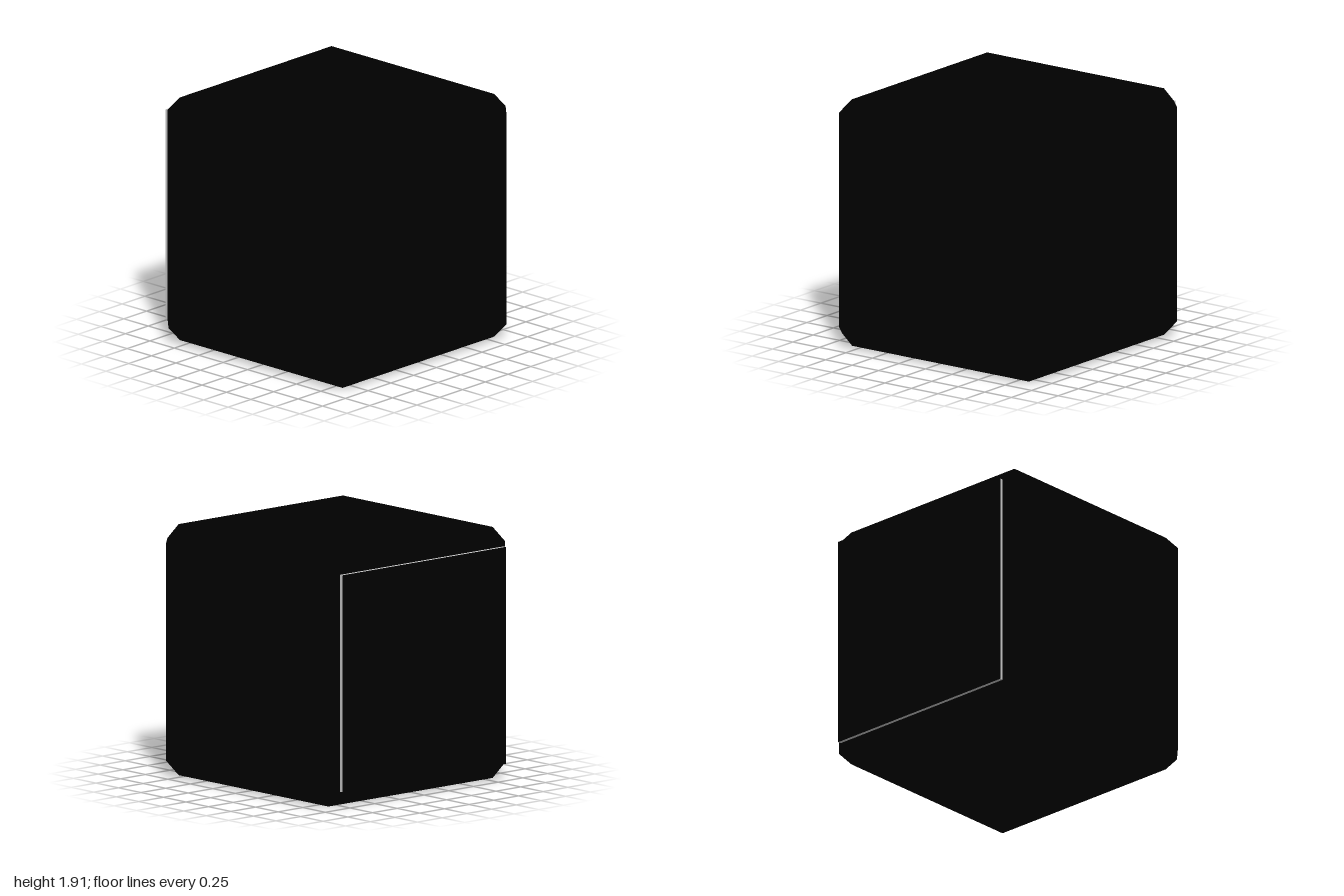
import * as THREE from 'three';

const black = new THREE.MeshStandardMaterial({ color: 0x000000, flatShading: true });
const grey = new THREE.MeshStandardMaterial({ color: 0xcccccc, flatShading: true });

// Flat polygons as triangle fans, each turned to face away from (or toward) a reference point
function polygonGeometry(polygons, ref, toward = false) {
  const out = [];
  for (const pts of polygons) {
    const v = pts.map((p) => new THREE.Vector3(...p));
    const normal = v[1].clone().sub(v[0]).cross(v[2].clone().sub(v[0]));
    const facesAway = normal.dot(v[0].clone().sub(ref)) > 0;
    if (facesAway === toward) v.reverse();
    for (let i = 1; i < v.length - 1; i++) {
      for (const p of [v[0], v[i], v[i + 1]]) out.push(p.x, p.y, p.z);
    }
  }
  const g = new THREE.BufferGeometry();
  g.setAttribute('position', new THREE.Float32BufferAttribute(out, 3));
  g.computeVertexNormals();
  return g;
}

export function createModel() {
  const group = new THREE.Group();
  const add = (name, geometry, material) => {
    const mesh = new THREE.Mesh(geometry, material);
    mesh.name = name;
    group.add(mesh);
    return mesh;
  };

  const H = 0.957, I = 0.832;             // half size, and half size inside the chamfer
  const center = new THREE.Vector3(0, H, -0.017);
  // Point of the chamfered cube lying on the face across the given axis
  const corner = (signs, axis) =>
    signs.map((s, i) => s * (i === axis ? H : I) + center.getComponent(i));
  const S = [-1, 1];
  const loop = [[-1, -1], [1, -1], [1, 1], [-1, 1]];
  const place = (axis, s, a, b) => {
    const p = [0, 0, 0];
    p[axis] = s; p[(axis + 1) % 3] = a; p[(axis + 2) % 3] = b;
    return p;
  };

  // Body: flat faces, edge chamfers and corner triangles
  const shell = [];
  for (let axis = 0; axis < 3; axis++) {
    const b = (axis + 1) % 3, c = (axis + 2) % 3;
    for (const s of S) {
      if (!(axis === 2 && s === 1)) shell.push(loop.map(([u, v]) => corner(place(axis, s, u, v), axis)));
      for (const t of S) {
        const p = place(axis, -1, s, t), q = place(axis, 1, s, t);
        shell.push([corner(p, b), corner(q, b), corner(q, c), corner(p, c)]);
      }
    }
  }
  for (const x of S) for (const y of S) for (const z of S) {
    shell.push([0, 1, 2].map((axis) => corner([x, y, z], axis)));
  }
  add('chamferedBody', polygonGeometry(shell, center), black);

  // Front: faces rising from the square border to the rim of the triangular opening
  const [bl, br, tr, tl] = loop.map(([x, y]) => corner([x, y, 1], 2));
  const left = [-0.66, 0.52, 1], right = [0.66, 0.52, 1], apex = [0, 1.57, 0.945];
  add('frontSurround', polygonGeometry([
    [bl, br, right, left],
    [bl, left, tl], [br, right, tr],
    [tl, left, apex], [tr, right, apex],
    [tl, tr, apex],
  ], center), black);

  // Triangular recess: three walls and a floor
  const rim = [left, right, apex];
  const floor = rim.map(([x, y]) => [x, y, 0.57]);
  const walls = rim.map((p, i) => [p, rim[(i + 1) % 3], floor[(i + 1) % 3], floor[i]]);
  add('triangularRecess', polygonGeometry([...walls, floor], new THREE.Vector3(0, 0.85, 0.8), true), black);

  // Back panel: thin plate with grey edges and a black face
  const panel = add('backPanel', new THREE.BoxGeometry(2 * I - 0.01, 2 * I - 0.01, 0.026),
    [grey, grey, grey, grey, grey, black]);
  panel.position.set(0, H, -0.987);

  return group;
}
